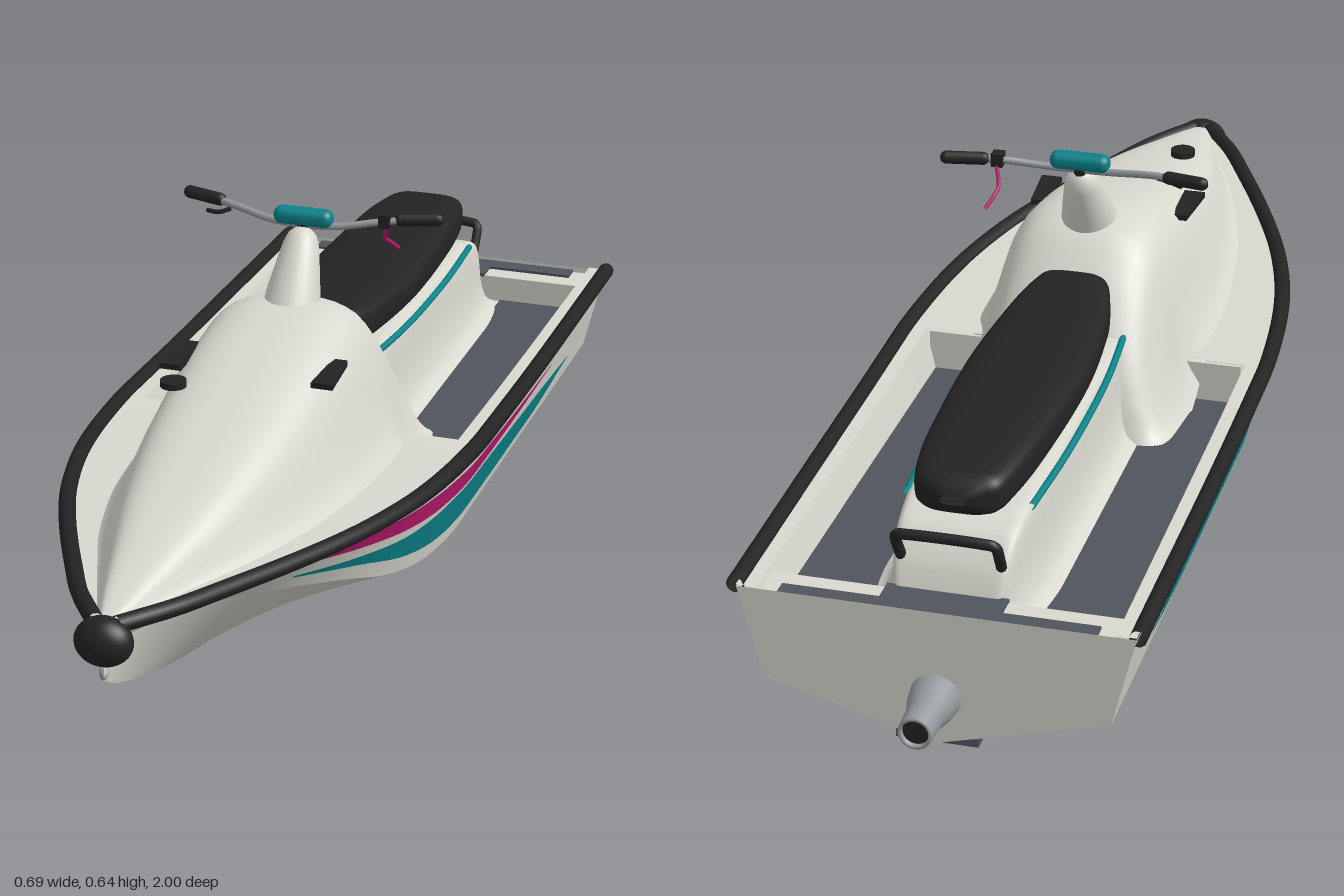
import * as THREE from 'three';
import { RoundedBoxGeometry } from 'three/addons/geometries/RoundedBoxGeometry.js';

const mat = (name, color, side = THREE.DoubleSide) => new THREE.MeshStandardMaterial({ name, color, side });
const V = (x, y, z) => new THREE.Vector3(x, y, z);

// Monotone cubic through rows [t, a, b, ...]; returns a function giving [a, b, ...] at t.
function spline(rows) {
  const n = rows.length, slope = (i, k) => (rows[i + 1][k] - rows[i][k]) / (rows[i + 1][0] - rows[i][0]);
  const tangent = (i, k) => {
    if (i === 0) return slope(0, k);
    if (i === n - 1) return slope(n - 2, k);
    const a = slope(i - 1, k), b = slope(i, k);
    return a * b <= 0 ? 0 : 2 * a * b / (a + b);
  };
  return (t) => {
    let i = 0;
    while (i < n - 2 && t > rows[i + 1][0]) i++;
    const h = rows[i + 1][0] - rows[i][0], s = Math.min(1, Math.max(0, (t - rows[i][0]) / h));
    return rows[0].slice(1).map((_, j) => {
      const k = j + 1, s2 = s * s, s3 = s2 * s;
      return (2 * s3 - 3 * s2 + 1) * rows[i][k] + (s3 - 2 * s2 + s) * h * tangent(i, k)
        + (3 * s2 - 2 * s3) * rows[i + 1][k] + (s3 - s2) * h * tangent(i + 1, k);
    });
  };
}

// Grid surface from fn(u, v) => [x, y, z].
function loft(fn, nu, nv) {
  const pos = [], idx = [];
  for (let i = 0; i <= nu; i++) for (let j = 0; j <= nv; j++) pos.push(...fn(i / nu, j / nv));
  for (let i = 0; i < nu; i++) for (let j = 0; j < nv; j++) {
    const a = i * (nv + 1) + j, b = a + nv + 1;
    idx.push(a, b, a + 1, b, b + 1, a + 1);
  }
  const g = new THREE.BufferGeometry();
  g.setAttribute('position', new THREE.Float32BufferAttribute(pos, 3));
  g.setIndex(idx);
  g.computeVertexNormals();
  return g;
}
const lerp = THREE.MathUtils.lerp;
const tube = (pts, r, n = 24) => new THREE.TubeGeometry(new THREE.CatmullRomCurve3(pts), n, r, 10);

// Hull stations: z, gunwale x, gunwale y, chine x, chine y, keel y
const hullAt = spline([
  [-0.89, 0.325, 0.24, 0.285, 0.08, 0.001], [-0.3, 0.328, 0.247, 0.285, 0.08, 0.001],
  [0, 0.328, 0.255, 0.285, 0.08, 0.001], [0.15, 0.32, 0.26, 0.277, 0.09, 0.005],
  [0.3, 0.3, 0.266, 0.255, 0.12, 0.019], [0.45, 0.262, 0.273, 0.21, 0.17, 0.04],
  [0.6, 0.205, 0.28, 0.152, 0.213, 0.073], [0.75, 0.135, 0.288, 0.092, 0.25, 0.115],
  [0.85, 0.085, 0.293, 0.05, 0.265, 0.15], [0.92, 0.045, 0.296, 0.025, 0.268, 0.178],
  [0.965, 0.006, 0.297, 0.004, 0.262, 0.205],
]);

export function createModel() {
  const model = new THREE.Group();
  const white = mat('hull white', 0xd8d8cf), black = mat('rubber black', 0x232323);
  const grey = mat('mat grey', 0x50555e), metal = mat('metal grey', 0x94989c);
  const teal = mat('teal', 0x0b838a), magenta = mat('magenta', 0xb8196d);
  const add = (name, geo, material, x = 0, y = 0, z = 0) => {
    const m = new THREE.Mesh(geo, material);
    m.name = name;
    m.position.set(x, y, z);
    model.add(m);
    return m;
  };
  const box = (name, m, w, h, d, x, y, z) => add(name, new THREE.BoxGeometry(w, h, d), m, x, y, z);
  const Z0 = -0.89, Z1 = 0.965, FLOOR = 0.18, WELL = 0.03;

  for (const s of [1, -1]) {
    // Hull panels, hard-edged at the chine and keel
    add('hullSide', loft((u, v) => {
      const z = lerp(Z0, Z1, u), [gx, gy, cx, cy] = hullAt(z);
      return [s * lerp(cx, gx, v), lerp(cy, gy, v), z];
    }, 60, 4), white);
    add('hullBottom', loft((u, v) => {
      const z = lerp(Z0, Z1, u), [, , cx, cy, ky] = hullAt(z);
      return [s * cx * v, lerp(ky, cy, v), z];
    }, 60, 6), white);

    // Side deck and footwell wall
    add('sideDeck', loft((u, v) => {
      const z = lerp(Z0, WELL, u), [gx, gy] = hullAt(z);
      return [s * lerp(0.292, gx, v), gy + 0.003, z];
    }, 10, 1), white);
    add('footwellWall', loft((u, v) => {
      const z = lerp(Z0, WELL, u), gy = hullAt(z)[1];
      return [s * lerp(0.275, 0.292, v), lerp(FLOOR, gy + 0.003, v), z];
    }, 10, 1), white);
    box('footMat', grey, 0.145, 0.006, 0.85, s * 0.205, FLOOR, -0.39);

    // Bumper rail along the gunwale
    const rail = [];
    for (let i = 0; i <= 20; i++) {
      const z = lerp(Z0, 0.955, i / 20), [gx, gy] = hullAt(z);
      rail.push(V(s * (gx + 0.002), gy + 0.002, z));
    }
    add('bumperRail', tube(rail, 0.0145, 60), black);

    // Painted side stripes: z, lower y, upper y
    const stripe = (name, m, rows) => {
      const at = spline(rows), a = rows[0][0], b = rows[rows.length - 1][0];
      add(name, loft((u, v) => {
        const z = lerp(a, b, u), [lo, hi] = at(z), y = lerp(lo, hi, v), [gx, gy, cx, cy] = hullAt(z);
        return [s * (lerp(cx, gx, (y - cy) / (gy - cy)) + 0.003), y, z];
      }, 40, 2), m);
    };
    stripe('magentaStripe', magenta, [[-0.52, 0.185, 0.187], [-0.2, 0.18, 0.202], [0.05, 0.184, 0.219],
      [0.2, 0.194, 0.232], [0.4, 0.223, 0.25], [0.58, 0.259, 0.263]]);
    stripe('tealStripe', teal, [[-0.7, 0.13, 0.132], [-0.45, 0.107, 0.152], [-0.1, 0.108, 0.172],
      [0.1, 0.115, 0.18], [0.25, 0.138, 0.186], [0.42, 0.188, 0.207], [0.59, 0.234, 0.237]]);

    // Hood vents
    const vent = new THREE.Shape([[-0.013, -0.055], [0.013, -0.055], [0.022, 0.055], [-0.016, 0.055]]
      .map(([x, y]) => new THREE.Vector2(s * x, y)));
    const ventMesh = add('hoodVent', new THREE.ExtrudeGeometry(vent, { depth: 0.01, bevelEnabled: false }), black,
      s * 0.131, 0.455, 0.255);
    ventMesh.rotation.x = Math.PI / 2;

    // Seat trim and handlebar grips
    add('seatTrim', tube([V(s * 0.1, 0.347, -0.07), V(s * 0.113, 0.343, -0.25), V(s * 0.113, 0.338, -0.5),
      V(s * 0.103, 0.335, -0.69)], 0.006), teal);
    add('grip', tube([V(s * 0.165, 0.629, -0.03), V(s * 0.226, 0.631, -0.045)], 0.0115, 4), black);
    for (const e of [[0.165, 0.629, -0.03], [0.226, 0.631, -0.045]])
      add('gripEnd', new THREE.SphereGeometry(0.0114, 10, 8), black, s * e[0], e[1], e[2]);
    box('intakeBar', grey, 0.013, 0.008, 0.17, s * 0.02, 0.006, -0.57);
  }

  // Transom
  const [gx, gy, cx, cy, ky] = hullAt(Z0);
  add('transom', new THREE.ShapeGeometry(new THREE.Shape([[-gx, gy], [-cx, cy], [0, ky], [cx, cy], [gx, gy]]
    .map((p) => new THREE.Vector2(...p)))), white, 0, 0, Z0).rotation.y = Math.PI;

  // Decks
  add('foreDeck', loft((u, v) => {
    const z = lerp(WELL, Z1, u), h = hullAt(z);
    return [lerp(-h[0], h[0], v), h[1] + 0.003, z];
  }, 30, 2), white);
  box('footwellFloor', white, 0.55, 0.006, 0.9, 0, FLOOR - 0.006, -0.4);
  box('footwellFront', white, 0.57, 0.076, 0.006, 0, 0.217, WELL);
  box('sternDeck', white, 0.58, 0.05, 0.073, 0, 0.205, -0.853);
  box('sternMat', grey, 0.52, 0.006, 0.034, 0, 0.232, -0.872);
  box('sternMatCentre', grey, 0.2, 0.006, 0.045, 0, 0.232, -0.834);

  // Hood: flared arch section swept along z (z, half width, base y, top y)
  const hoodAt = spline([[-0.172, 0.2, 0.178, 0.182], [-0.15, 0.203, 0.178, 0.26], [-0.12, 0.205, 0.178, 0.325],
    [-0.08, 0.207, 0.178, 0.385], [-0.03, 0.209, 0.18, 0.445], [0.03, 0.212, 0.215, 0.493], [0.1, 0.215, 0.255, 0.505],
    [0.2, 0.214, 0.262, 0.49], [0.4, 0.197, 0.27, 0.443], [0.6, 0.152, 0.28, 0.395], [0.8, 0.08, 0.29, 0.344],
    [0.9, 0.04, 0.295, 0.318], [0.96, 0.012, 0.297, 0.302]]);
  const archAt = spline([[0, 1, 0], [0.14, 0.9, 0.13], [0.28, 0.82, 0.31], [0.42, 0.75, 0.5], [0.56, 0.66, 0.72],
    [0.68, 0.56, 0.86], [0.78, 0.43, 0.945], [0.9, 0.2, 0.995], [1, 0, 1]]);
  const arch = (at, profile, a, b) => loft((u, v) => {
    const z = lerp(a, b, u), [w, lo, hi] = at(z), [px, py] = profile(1 - Math.abs(2 * v - 1));
    return [Math.sign(v - 0.5) * px * w, lerp(lo, hi, py), z];
  }, 70, 40);
  add('hood', arch(hoodAt, archAt, -0.172, 0.96), white);

  // Seat pedestal with a filleted foot
  add('seatPedestal', arch(
    spline([[-0.83, 0.115, 0.178, 0.2], [-0.8, 0.135, 0.178, 0.275], [-0.75, 0.148, 0.178, 0.325],
      [-0.66, 0.155, 0.178, 0.345], [0, 0.155, 0.178, 0.35]]),
    spline([[0, 1, 0], [0.15, 0.82, 0.12], [0.3, 0.73, 0.4], [0.6, 0.67, 0.92], [0.7, 0.6, 0.99], [1, 0, 1]]),
    -0.83, 0), white);

  // Seat cushion (z, half width, bottom y, top y)
  const seatAt = spline([[-0.778, 0.02, 0.37, 0.385], [-0.77, 0.052, 0.352, 0.405], [-0.74, 0.075, 0.343, 0.415],
    [-0.6, 0.094, 0.343, 0.421], [-0.35, 0.104, 0.348, 0.421], [-0.15, 0.09, 0.353, 0.428], [-0.04, 0.064, 0.362, 0.437],
    [0, 0.045, 0.37, 0.435], [0.025, 0.012, 0.395, 0.415]]);
  add('seat', loft((u, v) => {
    const z = lerp(-0.778, 0.025, u), [w, lo, hi] = seatAt(z), a = v * Math.PI * 2;
    const pow = (c) => Math.sign(c) * Math.abs(c) ** 0.55;
    return [w * pow(Math.cos(a)), (lo + hi) / 2 + (hi - lo) / 2 * pow(Math.sin(a)), z];
  }, 60, 36), black);

  // Rear grab handle
  add('grabHandle', tube([V(-0.08, 0.25, -0.775), V(-0.083, 0.3, -0.805), V(-0.08, 0.331, -0.822), V(-0.06, 0.335, -0.825),
    V(0.06, 0.335, -0.825), V(0.08, 0.331, -0.822), V(0.083, 0.3, -0.805), V(0.08, 0.25, -0.775)], 0.009, 50), black);

  // Steering column, tilted back
  const column = add('steeringColumn', new THREE.LatheGeometry([[0.052, -0.02], [0.047, 0.03], [0.038, 0.08],
    [0.031, 0.115], [0.024, 0.133], [0.012, 0.143], [0, 0.145]].map((p) => new THREE.Vector2(...p)), 28), white, 0, 0.482, 0.072);
  column.rotation.x = -0.5;
  add('steeringNeck', tube([V(0, 0.59, 0.01), V(0, 0.625, 0)], 0.012, 4), black);
  add('handlebar', tube([V(-0.18, 0.63, -0.033), V(-0.13, 0.625, -0.018), V(-0.05, 0.614, 0), V(0.05, 0.614, 0),
    V(0.13, 0.625, -0.018), V(0.18, 0.63, -0.033)], 0.0065, 40), metal);
  add('handlebarPad', new RoundedBoxGeometry(0.106, 0.031, 0.034, 4, 0.014), teal, 0, 0.628, 0.003);
  add('throttleLever', tube([V(-0.14, 0.62, -0.015), V(-0.16, 0.613, -0.01), V(-0.185, 0.61, -0.02)], 0.004, 10), black);
  box('safetySwitch', black, 0.02, 0.024, 0.022, 0.14, 0.628, -0.022);
  add('safetyLanyard', tube([V(0.14, 0.618, -0.03), V(0.133, 0.586, -0.045), V(0.136, 0.576, -0.06),
    V(0.147, 0.558, -0.08)], 0.0035, 20), magenta);

  // Fuel cap and bow fittings
  add('fuelCap', new THREE.CylinderGeometry(0.022, 0.022, 0.011, 24), black, -0.083, 0.476, 0.43);
  add('bowBumper', new THREE.SphereGeometry(1, 28, 20), black, 0, 0.273, 0.965).scale.set(0.048, 0.041, 0.035);
  add('bowEye', new THREE.TorusGeometry(0.014, 0.0035, 8, 20), metal, 0, 0.224, 0.963).rotation.y = Math.PI / 2;

  // Jet nozzle and ride plate
  const nozzle = add('jetNozzle', new THREE.LatheGeometry([[0.042, 0], [0.038, 0.03], [0.03, 0.06], [0.028, 0.11],
    [0.022, 0.11], [0.022, 0.09]].map((p) => new THREE.Vector2(...p)), 28), metal, 0, 0.086, -0.89);
  nozzle.rotation.x = -Math.PI / 2;
  add('nozzleBore', new THREE.CylinderGeometry(0.023, 0.023, 0.01, 24), black, 0, 0.086, -0.988).rotation.x = Math.PI / 2;
  box('ridePlate', grey, 0.136, 0.014, 0.18, 0, 0.007, -0.795);
  return model;
}
